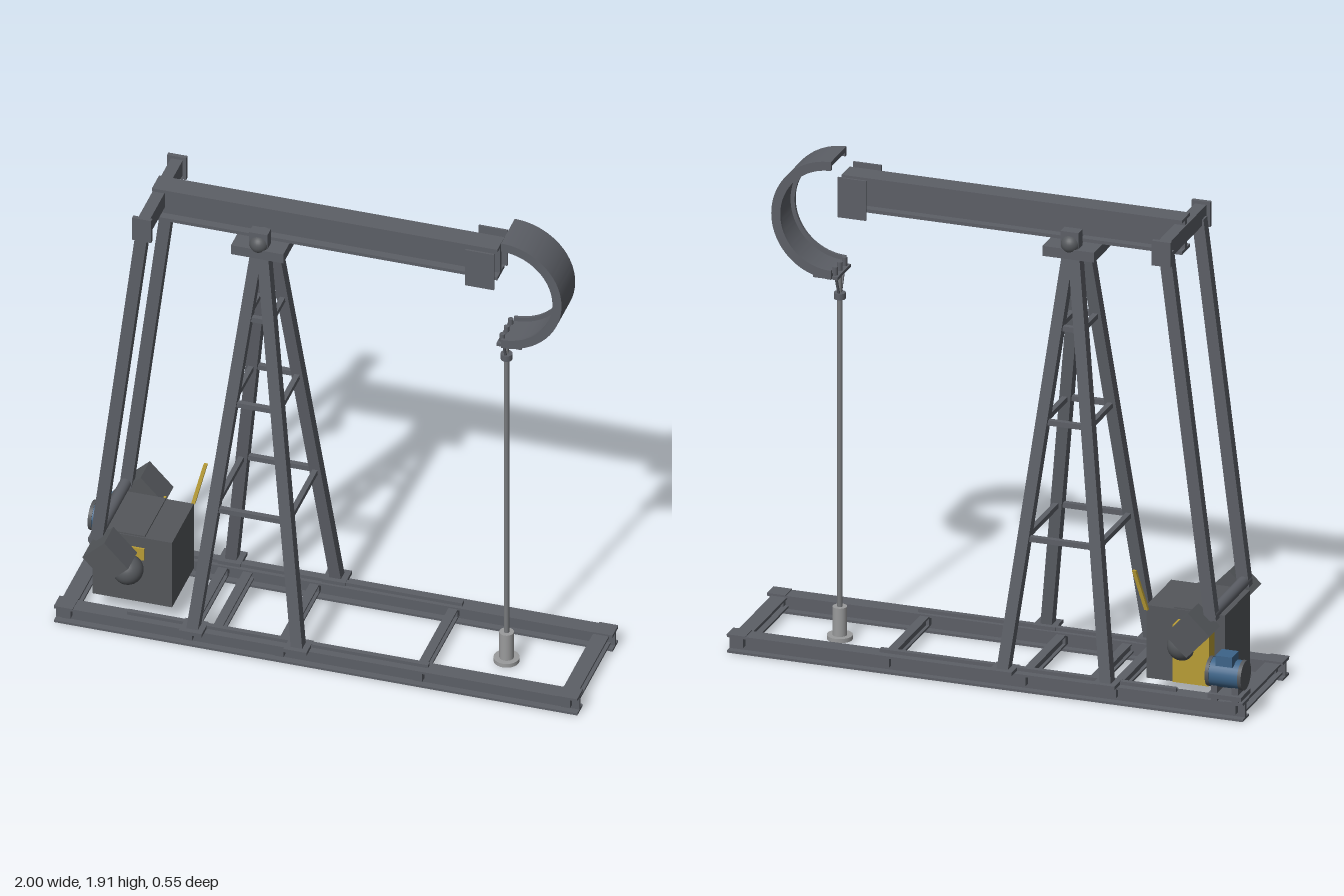
import * as THREE from 'three';
import { toCreasedNormals } from 'three/addons/utils/BufferGeometryUtils.js';

const mat = (name, color) => {
  const m = new THREE.MeshStandardMaterial({ color });
  m.name = name;
  return m;
};

export function createModel() {
  const model = new THREE.Group();
  model.name = 'pumpJack';
  const steel = mat('steel grey', 0x5c5f66);
  const castIron = mat('cast iron', 0x54575b);
  const blue = mat('motor blue', 0x3d6488);
  const yellow = mat('guard yellow', 0xb89c35);
  const rodGrey = mat('rod grey', 0x77797c);
  const pale = mat('wellhead grey', 0x9a9b9c);

  const add = (name, geo, m, x = 0, y = 0, z = 0) => {
    const mesh = new THREE.Mesh(geo, m);
    mesh.name = name;
    mesh.position.set(x, y, z);
    model.add(mesh);
    return mesh;
  };
  // box given by its limits on each axis
  const box = (name, m, x0, x1, y0, y1, z0, z1) =>
    add(name, new THREE.BoxGeometry(x1 - x0, y1 - y0, z1 - z0), m, (x0 + x1) / 2, (y0 + y1) / 2, (z0 + z1) / 2);
  // cylinder along a chosen axis
  const cyl = (name, m, r, len, axis, x, y, z, sides = 28) => {
    const g = new THREE.CylinderGeometry(r, r, len, sides);
    if (axis === 'x') g.rotateZ(Math.PI / 2);
    if (axis === 'z') g.rotateX(Math.PI / 2);
    return add(name, g, m, x, y, z);
  };
  // leaning bar with level ends, from point a up to point b
  const strut = (name, m, a, b, w, d) => {
    const g = new THREE.BoxGeometry(w, 1, d);
    const p = g.attributes.position;
    for (let i = 0; i < p.count; i++) {
      const t = p.getY(i) + 0.5;
      p.setXYZ(i, p.getX(i) + a[0] + (b[0] - a[0]) * t, a[1] + (b[1] - a[1]) * t, p.getZ(i) + a[2] + (b[2] - a[2]) * t);
    }
    g.computeVertexNormals();
    return add(name, g, m);
  };
  // I-section beam centred on its length
  const iBeam = (name, axis, len, w, h, tf, tw, x, y, z) => {
    const a = w / 2, b = h / 2, c = tw / 2, e = b - tf;
    const pts = [[-a, -b], [a, -b], [a, -e], [c, -e], [c, e], [a, e], [a, b], [-a, b], [-a, e], [-c, e], [-c, -e], [-a, -e]];
    const g = new THREE.ExtrudeGeometry(new THREE.Shape(pts.map(q => new THREE.Vector2(...q))), { depth: len, bevelEnabled: false });
    g.translate(0, 0, -len / 2);
    if (axis === 'x') g.rotateY(Math.PI / 2);
    return add(name, g, steel, x, y, z);
  };

  // Base frame
  for (const s of [-1, 1]) {
    iBeam('baseRail', 'x', 2, 0.065, 0.07, 0.009, 0.012, 0, 0.035, s * 0.215);
    box('topRunner', steel, -0.73, 0.42, 0.07, 0.083, s * 0.208 - 0.01, s * 0.208 + 0.01);
    for (const x of [-0.955, -0.49, -0.14, 0.39, 0.955])
      box('railStiffener', steel, x - 0.017, x + 0.017, 0.025, 0.063, s * 0.215 - 0.031, s * 0.215 + 0.031);
    for (const x of [-0.964, 0.964])
      box('cornerPlate', steel, x - 0.036, x + 0.036, 0.068, 0.073, s * 0.215 - 0.035, s * 0.215 + 0.035);
  }
  for (const x of [-0.96, 0.955]) iBeam('endCrossBeam', 'z', 0.41, 0.06, 0.048, 0.008, 0.012, x, 0.04, 0);
  for (const x of [-0.49, -0.395, -0.14, 0.39]) iBeam('crossBeam', 'z', 0.41, 0.035, 0.042, 0.007, 0.01, x, 0.043, 0);

  // Tower: four leaning legs with three rings of braces
  const cx = -0.27;
  const legAt = y => {
    const t = (y - 0.08) / 1.58;
    return [0.2 - 0.187 * t, 0.235 - 0.18 * t];
  };
  for (const sx of [-1, 1]) for (const sz of [-1, 1]) {
    const [fx, fz] = legAt(0.08), [tx, tz] = legAt(1.665);
    strut('towerLeg', steel, [cx + sx * fx, 0.08, sz * fz], [cx + sx * tx, 1.665, sz * tz], 0.044, 0.044);
    const px = cx + sx * 0.2;
    box('legFoot', steel, px - 0.044, px + 0.044, 0.07, 0.084, sz * 0.235 - 0.042, sz * 0.235 + 0.042);
  }
  for (const y of [0.58, 1.025, 1.385]) {
    const [bx, bz] = legAt(y), h = 0.01;
    for (const s of [-1, 1]) {
      box('longBrace', steel, cx - bx, cx + bx, y - h, y + h, s * bz - h, s * bz + h);
      box('sideBrace', steel, cx + s * bx - h, cx + s * bx + h, y - h, y + h, -bz, bz);
    }
  }

  // Saddle bearing
  box('saddlePlate', steel, cx - 0.1, cx + 0.1, 1.663, 1.702, -0.1, 0.1);
  for (const s of [-1, 1]) {
    box('bearingBlock', steel, cx - 0.035, cx + 0.035, 1.70, 1.765, s * 0.065 - 0.022, s * 0.065 + 0.022);
    add('bearingCap', new THREE.SphereGeometry(0.036, 24, 16), castIron, cx, 1.715, s * 0.075);
  }
  cyl('bearingShaft', steel, 0.03, 0.17, 'z', cx, 1.715, 0);

  // Walking beam with cheek plates at the head
  iBeam('walkingBeam', 'x', 1.32, 0.086, 0.135, 0.013, 0.022, -0.03, 1.783, 0);
  for (const s of [-1, 1]) box('cheekPlate', steel, 0.52, 0.63, 1.70, 1.856, s * 0.082 - 0.004, s * 0.082 + 0.004);

  // Horse head: curved band with side rims
  const arc = (name, r0, r1, z0, depth) => {
    const s = new THREE.Shape();
    s.absarc(0, 0, r1, -Math.PI / 2, Math.PI / 2, false);
    s.absarc(0, 0, r0, Math.PI / 2, -Math.PI / 2, true);
    s.closePath();
    const g = new THREE.ExtrudeGeometry(s, { depth, bevelEnabled: false, curveSegments: 40 });
    add(name, toCreasedNormals(g, 0.5), steel, 0.657, 1.68, z0);
  };
  arc('headBand', 0.212, 0.231, -0.083, 0.166);
  for (const s of [-1, 1]) arc('headRim', 0.196, 0.213, s * 0.077 - 0.006, 0.012);

  // Bridle hanger, polished rod and wellhead
  const wx = 0.652;
  box('hangerPlate', steel, 0.635, 0.73, 1.445, 1.457, -0.07, 0.07);
  for (const z of [-0.05, 0, 0.05]) cyl('hangerBolt', steel, 0.01, 0.05, 'y', wx, 1.465, z, 14);
  for (const s of [-1, 1]) strut('bridleCable', steel, [wx, 1.365, s * 0.01], [wx, 1.45, s * 0.045], 0.008, 0.008);
  cyl('upperRod', rodGrey, 0.007, 0.1, 'y', wx, 1.4, 0, 16);
  cyl('rodClamp', steel, 0.022, 0.024, 'y', wx, 1.358, 0, 20);
  cyl('polishedRod', rodGrey, 0.01, 1.24, 'y', wx, 0.74, 0, 16);
  cyl('wellhead', pale, 0.027, 0.12, 'y', wx, 0.077, 0);
  cyl('wellFlange', pale, 0.048, 0.016, 'y', wx, 0.018, 0);

  // Equalizer bar and pitman arms
  box('equalizerBar', steel, -0.695, -0.65, 1.755, 1.82, -0.21, 0.21);
  for (const s of [-1, 1]) {
    box('equalizerEnd', steel, -0.71, -0.637, 1.735, 1.832, s * 0.212 - 0.008, s * 0.212 + 0.008);
    strut('pitmanArm', steel, [-0.855, 0.36, s * 0.177], [-0.678, 1.78, s * 0.177], 0.046, 0.04);
  }
  cyl('crankPin', steel, 0.022, 0.39, 'z', -0.855, 0.378, 0, 20);

  // Gearbox with cranks and counterweights
  box('gearbox', castIron, -0.89, -0.585, 0.075, 0.36, -0.132, 0.132);
  box('gearboxLid', castIron, -0.84, -0.69, 0.36, 0.366, -0.128, 0.128);
  cyl('crankShaft', steel, 0.03, 0.34, 'z', -0.74, 0.24, 0);
  for (const s of [-1, 1]) {
    add('crankHub', new THREE.SphereGeometry(0.057, 28, 18), castIron, -0.74, 0.24, s * 0.175);
    const w = add('counterweight', new THREE.BoxGeometry(0.115, 0.132, 0.112), castIron, -0.795, 0.322, s * 0.221);
    w.rotation.z = 0.76;
  }
  box('crankGuardPlate', yellow, -0.76, -0.69, 0.265, 0.315, 0.132, 0.14);

  // Belt guard and brake lever
  box('beltGuard', yellow, -0.85, -0.71, 0.10, 0.325, -0.197, -0.137);
  strut('brakeLever', yellow, [-0.592, 0.35, -0.15], [-0.555, 0.51, -0.18], 0.014, 0.014);

  // Electric motor
  const my = 0.172, mz = -0.215;
  cyl('motorBody', blue, 0.054, 0.115, 'x', -0.93, my, mz);
  for (const x of [-0.993, -0.867]) cyl('motorEndCap', castIron, 0.056, 0.014, 'x', x, my, mz);
  box('motorTerminalBox', blue, -0.965, -0.9, 0.215, 0.255, -0.265, -0.195);
  box('motorBase', steel, -1, -0.87, 0.085, 0.102, -0.265, -0.165);
  for (const x of [-0.97, -0.89]) box('motorFoot', steel, x - 0.012, x + 0.012, 0.07, 0.13, -0.25, -0.18);

  return model;
}
